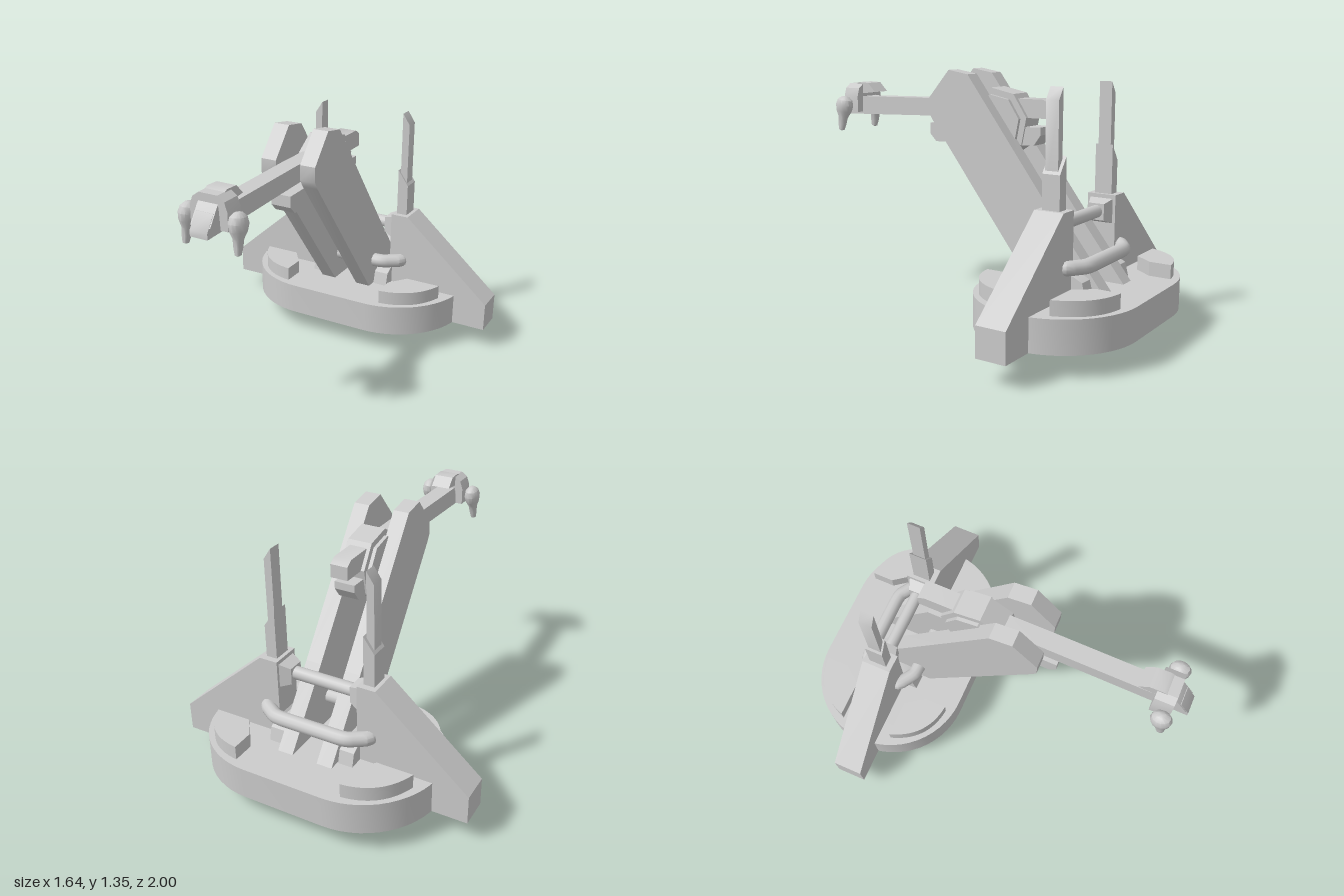
import * as THREE from 'three';
import { toCreasedNormals } from 'three/addons/utils/BufferGeometryUtils.js';

const material = new THREE.MeshStandardMaterial({ color: 0xcccccc, side: THREE.DoubleSide });
const MID_Z = -0.58;

const toShape = (points) => new THREE.Shape(points.map(([x, y]) => new THREE.Vector2(x, y)));
const extrude = (shape, depth) =>
  new THREE.ExtrudeGeometry(shape, { depth, bevelEnabled: false, curveSegments: 14 });

// Profile given as [x, y], extruded from z0 to z1
const alongZ = (points, z0, z1) => extrude(toShape(points), z1 - z0).translate(0, 0, z0);

// Profile given as [z, y], extruded from x0 to x1
const alongX = (points, x0, x1) =>
  extrude(toShape(points.map(([z, y]) => [-z, y])), x1 - x0).rotateY(Math.PI / 2).translate(x0, 0, 0);

// Plan shape given as (x, -z), extruded from y0 to y1
const alongY = (shape, y0, y1) => extrude(shape, y1 - y0).rotateX(-Math.PI / 2).translate(0, y0, 0);

// Drops the triangles lying on the floor plane, leaving an open shell
function openBottom(geometry, y) {
  const p = geometry.toNonIndexed().attributes.position;
  const kept = [];
  for (let i = 0; i < p.count; i += 3) {
    if ([0, 1, 2].every((k) => p.getY(i + k) < y + 0.001)) continue;
    for (let k = 0; k < 3; k++) kept.push(p.getX(i + k), p.getY(i + k), p.getZ(i + k));
  }
  const shell = new THREE.BufferGeometry();
  shell.setAttribute('position', new THREE.Float32BufferAttribute(kept, 3));
  shell.computeVertexNormals();
  return shell;
}

export function createModel() {
  const model = new THREE.Group();
  model.name = 'craft';
  const add = (name, geometry) => {
    const mesh = new THREE.Mesh(toCreasedNormals(geometry, 0.6), material);
    mesh.name = name;
    model.add(mesh);
    return mesh;
  };

  // Hollow stadium-shaped hull
  const plan = new THREE.Shape();
  plan.absarc(0.22, -MID_Z, 0.42, -Math.PI / 2, Math.PI / 2);
  plan.absarc(-0.22, -MID_Z, 0.42, Math.PI / 2, Math.PI * 1.5);
  plan.closePath();
  add('hull', openBottom(alongY(plan, 0.12, 0.29), 0.12));

  // Rounded pods on the four corners of the deck
  for (const sx of [1, -1]) {
    for (const sz of [1, -1]) {
      const at = (x, dz) => [sx * x, -MID_Z + sz * dz];
      const pod = new THREE.Shape();
      pod.moveTo(...at(0.295, 0.37));
      pod.lineTo(...at(0.295, 0.25));
      pod.lineTo(...at(0.37, 0.15));
      pod.lineTo(...at(0.565, 0.15));
      pod.quadraticCurveTo(...at(0.5, 0.35), ...at(0.295, 0.37));
      add('cornerPod', alongY(pod, 0.28, 0.365));
    }
  }

  for (const s of [1, -1]) {
    const mirror = (points) => points.map(([x, y]) => [s * x, y]);
    const span = (a, b) => (s > 0 ? [a, b] : [-b, -a]);

    // Sloping side fin, open underneath
    add('sideFin', openBottom(alongZ(mirror([
      [0.82, 0.12], [0.82, 0.275], [0.325, 0.71], [0.225, 0.71], [0.225, 0.4],
      [0.16, 0.34], [0.16, 0.285], [0.62, 0.285], [0.62, 0.12],
    ]), -0.66, -0.5), 0.12));

    // Fairing at the inner foot of the fin
    add('finFairing', alongX([
      [-0.42, 0.28], [-0.44, 0.36], [-0.5, 0.39], [-0.66, 0.39], [-0.72, 0.36], [-0.74, 0.28],
    ], ...span(0.16, 0.24)));

    // Cannon with slanted tips
    add('cannonBase', alongZ(mirror([
      [0.245, 0.7], [0.305, 0.7], [0.305, 0.885], [0.245, 0.97],
    ]), -0.627, -0.53));
    add('cannonBarrel', alongZ(mirror([
      [0.255, 0.8], [0.295, 0.8], [0.295, 1.235], [0.255, 1.295],
    ]), -0.61, -0.54));

    // Flared square socket holding the crossbar
    const socket = new THREE.CylinderGeometry(0.062, 0.092, 0.06, 4)
      .rotateY(Math.PI / 4).rotateZ(s * Math.PI / 2).translate(s * 0.197, 0.625, MID_Z);
    add('crossbarSocket', socket);

    // Long slanted support arm
    add('supportArm', alongX([
      [-0.6, 0], [0.235, 1.08], [0.26, 1.12], [0.26, 1.2], [0.13, 1.35],
      [0.01, 1.33], [-0.5, 0.66], [-0.855, 0.21],
    ], ...span(0.07, 0.155)));

    // Claw: bulb tapering to a point
    const claw = new THREE.LatheGeometry([
      [0, -0.15], [0.016, -0.143], [0.022, -0.11], [0.026, -0.07], [0.042, -0.035],
      [0.048, 0], [0.04, 0.03], [0.02, 0.048], [0, 0.052],
    ].map(([r, y]) => new THREE.Vector2(r, y)), 14);
    const clawMesh = add('claw', claw.scale(0.9, 1, 1.15));
    clawMesh.position.set(s * 0.135, 1.13, 0.89);
    clawMesh.rotation.set(-0.15, 0, s * 0.05);
  }

  // Crossbar between the fins
  add('crossbar', new THREE.CylinderGeometry(0.034, 0.034, 0.36, 14)
    .rotateZ(Math.PI / 2).translate(0, 0.627, MID_Z));

  // Ring rail around the arms
  const corners = [[0.2, 0.147], [0.295, 0.085], [0.295, -0.085], [0.2, -0.147],
    [-0.2, -0.147], [-0.295, -0.085], [-0.295, 0.085], [-0.2, 0.147]];
  const rail = new THREE.CurvePath();
  corners.forEach(([x, z], i) => {
    const [nx, nz] = corners[(i + 1) % corners.length];
    const a = new THREE.Vector3(x, 0.437, MID_Z + z);
    const b = new THREE.Vector3(nx, 0.437, MID_Z + nz);
    rail.add(new THREE.LineCurve3(a.clone().lerp(b, 0.15), a.clone().lerp(b, 0.85)));
    const [mx, mz] = corners[(i + 2) % corners.length];
    const c = new THREE.Vector3(mx, 0.437, MID_Z + mz);
    rail.add(new THREE.QuadraticBezierCurve3(a.clone().lerp(b, 0.85), b, b.clone().lerp(c, 0.15)));
  });
  add('ringRail', new THREE.TubeGeometry(rail, 96, 0.038, 12, true));

  // Octagonal pivot hub between the arms
  const octagon = (r) => Array.from({ length: 8 }, (_, i) => {
    const a = (i + 0.5) * Math.PI / 4 + 0.2;
    return [-0.11 + r * Math.cos(a), 1.08 + r * Math.sin(a)];
  });
  add('pivotHub', alongX(octagon(0.185), -0.066, 0.066));
  add('pivotCollar', alongX(octagon(0.15), -0.085, 0.085));

  // Forward boom, its rear stub and the block beneath
  add('boom', alongX([
    [1, 1.07], [1, 1.1], [0.95, 1.175], [0.25, 1.19], [0, 1.19], [0, 1.1], [0.25, 1.095],
  ], -0.047, 0.047));
  add('rearStub', alongX([
    [0, 1.11], [0, 1.21], [-0.38, 1.21], [-0.42, 1.185], [-0.42, 1.115],
  ], -0.047, 0.047));
  add('lowerBlock', alongX([
    [0.33, 1.055], [0.33, 0.995], [0.29, 0.955], [-0.33, 0.975], [-0.37, 1.03], [-0.37, 1.07],
  ], -0.056, 0.056));

  // Head: arched hood over the boom tip with a rear crest
  add('headHood', alongZ([
    [-0.1, 1.09], [-0.1, 1.18], [-0.085, 1.225], [-0.05, 1.25], [0.05, 1.25], [0.085, 1.225],
    [0.1, 1.18], [0.1, 1.09], [0.06, 1.09], [0.055, 1.18], [-0.055, 1.18], [-0.06, 1.09],
  ], 0.82, 0.92));
  add('headCrest', alongX([
    [0.985, 1.12], [0.93, 1.2], [0.89, 1.24], [0.85, 1.258], [0.78, 1.255], [0.73, 1.205],
    [0.82, 1.195], [0.84, 1.14],
  ], -0.053, 0.053));

  return model;
}
